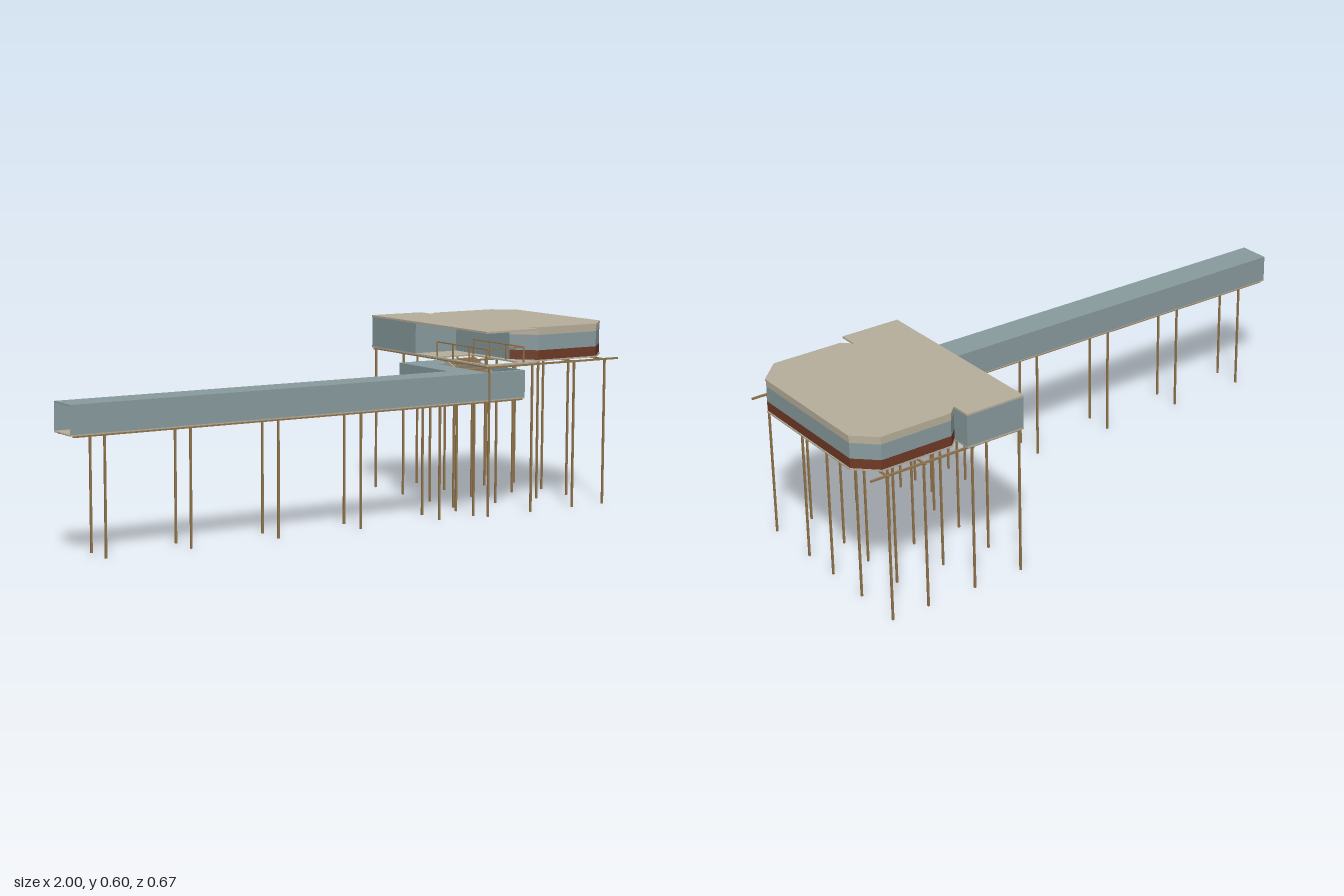
import * as THREE from 'three';

const mat = (name, color, side = THREE.FrontSide) => {
  const m = new THREE.MeshStandardMaterial({ color, side });
  m.name = name;
  return m;
};

export function createModel() {
  const model = new THREE.Group();
  model.name = 'stiltPavilion';
  const glass = mat('blueGreyGlass', 0x899b9e, THREE.DoubleSide);
  const tan = mat('paleTan', 0xb7af9b, THREE.DoubleSide);
  const rust = mat('rustBrown', 0x6f3a26, THREE.DoubleSide);
  const wood = mat('timber', 0x94774e);

  const add = (parent, name, geo, material) => {
    const m = new THREE.Mesh(geo, material);
    m.name = name;
    parent.add(m);
    return m;
  };
  const group = (name) => {
    const g = new THREE.Group();
    g.name = name;
    model.add(g);
    return g;
  };
  // box given by its minimum and maximum corners
  const box = (parent, name, material, x0, x1, y0, y1, z0, z1) =>
    add(parent, name, new THREE.BoxGeometry(x1 - x0, y1 - y0, z1 - z0), material)
      .position.set((x0 + x1) / 2, (y0 + y1) / 2, (z0 + z1) / 2);
  // horizontal slab from an [x, z] outline, with optional rectangular hole
  const slab = (parent, name, material, outline, y0, y1, hole) => {
    const pts = (list) => list.map(([x, z]) => new THREE.Vector2(x, z));
    const shape = new THREE.Shape(pts(outline));
    if (hole) {
      const [a, b, c, d] = hole;
      shape.holes.push(new THREE.Path(pts([[a, c], [a, d], [b, d], [b, c]])));
    }
    const geo = new THREE.ExtrudeGeometry(shape, { depth: y1 - y0, bevelEnabled: false });
    geo.rotateX(Math.PI / 2);
    add(parent, name, geo, material).position.y = y1;
  };
  // thin vertical wall following an [x, z] path
  const wall = (parent, name, material, path, y0, y1) => {
    const p = [];
    for (let i = 0; i < path.length - 1; i++) {
      const [ax, az] = path[i], [bx, bz] = path[i + 1];
      p.push(ax, y0, az, bx, y0, bz, bx, y1, bz, ax, y0, az, bx, y1, bz, ax, y1, az);
    }
    const geo = new THREE.BufferGeometry();
    geo.setAttribute('position', new THREE.Float32BufferAttribute(p, 3));
    geo.computeVertexNormals();
    add(parent, name, geo, material);
  };
  const post = (parent, name, x, z, y0, y1) =>
    box(parent, name, wood, x - 0.003, x + 0.003, y0, y1, z - 0.003, z + 0.003);

  // Enclosed walkway with its L-shaped landing, open at the far end
  const walkway = group('walkway');
  const ell = [[-1, 0.225], [0.38, 0.225], [0.38, -0.052], [0.608, -0.052], [0.608, 0.331], [-1, 0.331]];
  const stairHole = [0.465, 0.6, 0.05, 0.315];
  slab(walkway, 'walkwayFloor', tan, ell, 0.373, 0.377);
  slab(walkway, 'walkwayRoof', glass, ell, 0.461, 0.464, stairHole);
  wall(walkway, 'walkwayWalls', glass, ell, 0.377, 0.461);
  for (const z of [0.232, 0.328]) {
    box(walkway, 'walkwayBeam', wood, -0.99, 0.6, 0.368, 0.373, z - 0.003, z + 0.003);
    for (const x of [-0.89, -0.61, -0.31, -0.015, 0.28, 0.412]) {
      post(walkway, 'walkwayPost', x, z, 0.008, 0.37);
    }
  }

  // Timber platform frame on stilts
  const frame = group('platformFrame');
  const postX = [0.467, 0.637, 0.806, 0.932];
  const postZ = [0.331, 0.139, 0.002, -0.157, -0.325];
  for (const z of postZ) {
    box(frame, 'longBeam', wood, 0.457, 0.987, 0.478, 0.484, z - 0.003, z + 0.003);
    for (const x of postX) {
      const overLanding = x < 0.6 && z > -0.05 && z < 0.3;
      post(frame, 'stilt', x, z, 0, overLanding ? 0.373 : 0.48);
    }
  }
  for (const x of postX) {
    box(frame, 'crossBeam', wood, x - 0.003, x + 0.003, 0.478, 0.483, -0.335, 0.335);
  }

  // Deck and roof share an outline with clipped corners and two notches
  const house = group('pavilion');
  const outline = [[0.455, -0.335], [0.658, -0.335], [0.658, -0.27], [0.69, -0.3], [0.932, -0.3],
    [1, -0.236], [1, 0.22], [0.924, 0.297], [0.687, 0.297], [0.657, 0.267], [0.657, 0.332], [0.455, 0.332]];
  slab(house, 'deck', tan, outline, 0.484, 0.489, stairHole);
  slab(house, 'roof', tan, outline, 0.589, 0.595);

  // Banded facade wrapping the faceted room
  const facade = [[0.62, 0.23], [0.687, 0.296], [0.922, 0.296], [0.997, 0.22], [0.997, -0.235],
    [0.931, -0.299], [0.69, -0.299], [0.658, -0.268]];
  wall(house, 'lowerBand', rust, facade, 0.489, 0.52);
  wall(house, 'windowBand', glass, facade, 0.52, 0.57);
  wall(house, 'upperBand', tan, facade, 0.57, 0.589);
  // Glazed rear bay and the wall facing the stair porch
  wall(house, 'glazedBay', glass, [[0.658, -0.268], [0.658, -0.334], [0.456, -0.334],
    [0.456, -0.07], [0.62, -0.07], [0.62, 0.23]], 0.487, 0.589);

  // Stair rising from the landing to the porch
  const stair = group('stair');
  const steps = 12;
  for (let i = 0; i < steps; i++) {
    const y = 0.384 + i * 0.0088, z = 0.305 - i * 0.021;
    box(stair, 'tread', wood, 0.478, 0.59, y - 0.004, y, z - 0.013, z + 0.013);
  }
  for (const x of [0.475, 0.593]) {
    const side = add(stair, 'stringer', new THREE.BoxGeometry(0.004, 0.012, 0.255), tan);
    side.position.set(x, 0.43, 0.19);
    side.rotation.x = Math.atan2(0.0088, 0.021);
  }

  // Slim guard rail around the stair opening
  const rail = group('guardRail');
  for (const x of [0.46, 0.606]) {
    box(rail, 'handRail', wood, x - 0.002, x + 0.002, 0.536, 0.54, 0.05, 0.325);
    for (const z of [0.05, 0.14, 0.23, 0.325]) {
      box(rail, 'railPost', wood, x - 0.002, x + 0.002, 0.488, 0.538, z - 0.002, z + 0.002);
    }
  }
  box(rail, 'endRail', wood, 0.46, 0.606, 0.536, 0.54, 0.323, 0.327);
  return model;
}
